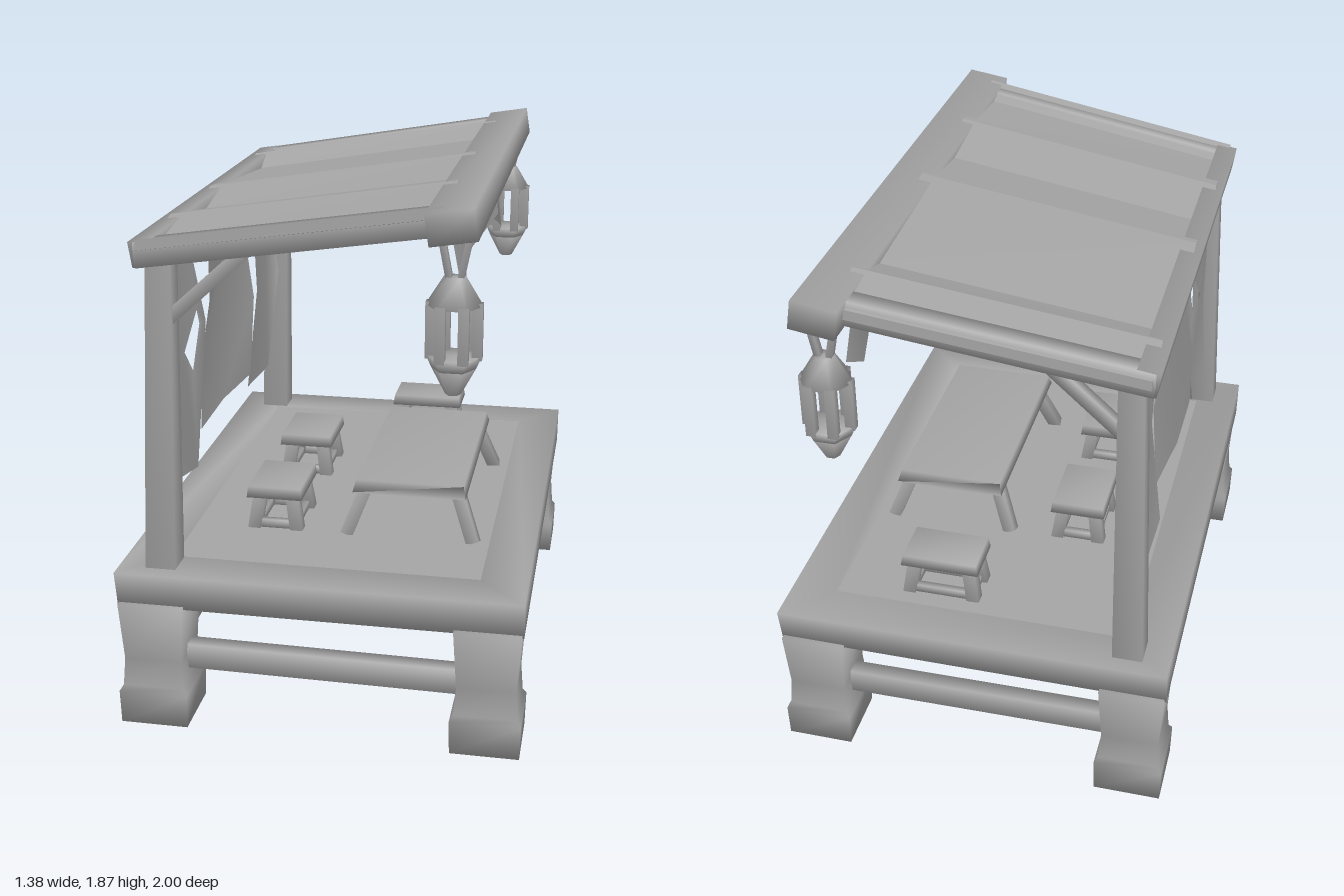
import * as THREE from 'three';
import { mergeVertices } from 'three/addons/utils/BufferGeometryUtils.js';

const grey = new THREE.MeshStandardMaterial({ color: 0xa4a4a4 });
grey.name = 'stone grey';
const greyCloth = new THREE.MeshStandardMaterial({ color: 0xa4a4a4, side: THREE.DoubleSide });
greyCloth.name = 'cloth grey';

const V = (x, y, z) => new THREE.Vector3(x, y, z);
const points = list => list.map(p => new THREE.Vector2(...p));

function add(parent, name, geometry, x = 0, y = 0, z = 0, material = grey) {
  const mesh = new THREE.Mesh(geometry, material);
  mesh.name = name;
  mesh.position.set(x, y, z);
  parent.add(mesh);
  return mesh;
}

// Join corners so the shading runs smoothly round the edges
function soften(geometry) {
  geometry.deleteAttribute('normal');
  geometry.deleteAttribute('uv');
  const joined = mergeVertices(geometry, 1e-4);
  joined.computeVertexNormals();
  return joined;
}

// Move every vertex of a geometry by a rule
function reshape(geometry, rule) {
  const p = geometry.attributes.position;
  const v = V(0, 0, 0);
  for (let i = 0; i < p.count; i++) {
    v.fromBufferAttribute(p, i);
    rule(v);
    p.setXYZ(i, v.x, v.y, v.z);
  }
  return soften(geometry);
}

// Square timber from p to q, narrowing by taper towards q
function bar(parent, name, p, q, w, d, taper = 1) {
  const geo = reshape(new THREE.BoxGeometry(w, d, p.distanceTo(q)), v => {
    if (v.z > 0) { v.x *= taper; v.y *= taper; }
  });
  const mid = p.clone().add(q).multiplyScalar(0.5);
  const mesh = add(parent, name, geo, mid.x, mid.y, mid.z);
  const upright = Math.abs(q.y - p.y) > 0.8 * p.distanceTo(q);
  mesh.quaternion.setFromRotationMatrix(
    new THREE.Matrix4().lookAt(q, p, upright ? V(0, 0, 1) : V(0, 1, 0)));
}

// Table or stool: slab top, four splayed legs, optional low rails
function furniture(parent, name, [x, z], [w, d], top, leg, splayX, splayZ, rails) {
  const g = new THREE.Group();
  g.name = name;
  g.position.set(x, 0.56, z);
  parent.add(g);
  const thick = 0.04;
  add(g, name + 'Top', reshape(new THREE.BoxGeometry(w, thick, d), v => {
    if (v.y > 0) { v.x *= 0.95; v.z *= 0.95; }
  }), 0, top - thick / 2, 0);
  const hx = w / 2 - leg / 2 - 0.01, hz = d / 2 - leg / 2 - 0.01;
  for (const sx of [-1, 1]) {
    for (const sz of [-1, 1]) {
      bar(g, name + 'Leg', V(sx * (hx + splayX), 0, sz * hz),
        V(sx * (hx - 0.01), top - 0.03, sz * (hz - splayZ)), leg, leg);
    }
    if (rails) {
      bar(g, name + 'Rail', V(sx * hx, 0.02, -hz), V(sx * hx, 0.02, hz), 0.025, 0.03);
      bar(g, name + 'Rail', V(-hx, 0.02, sx * hz), V(hx, 0.02, sx * hz), 0.025, 0.03);
    }
  }
}

// Hanging cloth cut from an outline of [z, y] points
function cloth(parent, name, x, outline, hole) {
  const shape = new THREE.Shape(points(outline));
  if (hole) shape.holes.push(new THREE.Path(points(hole)));
  const geo = reshape(new THREE.ShapeGeometry(shape), v => {
    v.set(x + 0.03 * Math.sin(v.x * 17 + v.y * 6), v.y, v.x);
  });
  add(parent, name, geo, 0, 0, 0, greyCloth);
}

function lantern(parent, x, z) {
  const g = new THREE.Group();
  g.name = 'lantern';
  g.position.set(x, 0, z);
  parent.add(g);
  const tier = (name, r1, r0, y0, y1) => add(g, name,
    soften(new THREE.CylinderGeometry(r1, r0, y1 - y0, 6).rotateY(Math.PI / 2)), 0, (y0 + y1) / 2, 0);
  tier('lanternCap', 0.035, 0.09, 1.55, 1.64);
  tier('lanternBase', 0.088, 0.07, 1.35, 1.39);
  tier('lanternPoint', 0.07, 0.025, 1.265, 1.35);
  for (let i = 0; i < 6; i++) {
    const a = i * Math.PI / 3, c = Math.cos(a) * 0.072, s = Math.sin(a) * 0.072;
    bar(g, 'lanternBar', V(c, 1.38, s), V(c, 1.56, s), 0.032, 0.032);
  }
  for (const s of [-1, 1]) bar(g, 'lanternHook', V(s * 0.015, 1.62, 0), V(s * 0.045, 1.77, 0), 0.02, 0.03);
}

export function createModel() {
  const model = new THREE.Group();
  model.name = 'marketPlatform';

  // Deck rim and floor
  const rim = new THREE.Shape(points([[-0.69, -0.945], [0.69, -0.945], [0.69, 0.945], [-0.69, 0.945]]));
  rim.holes.push(new THREE.Path(points([[-0.53, -0.78], [-0.53, 0.78], [0.53, 0.78], [0.53, -0.78]])));
  const rimGeo = new THREE.ExtrudeGeometry(rim, { depth: 0.13, bevelEnabled: false }).rotateX(-Math.PI / 2);
  add(model, 'deckRim', reshape(rimGeo, v => { if (v.y < 0.01) v.z *= 0.975; }), 0, 0.438, 0);
  add(model, 'deckFloor', new THREE.BoxGeometry(1.08, 0.06, 1.58), 0, 0.534, 0);

  // Stout legs with flared feet, as [height, width] steps
  const legSteps = [[0, 0.235], [0.12, 0.24], [0.14, 0.215], [0.24, 0.2], [0.45, 0.225]];
  for (const sx of [-1, 1]) for (const sz of [-1, 1]) {
    const geo = reshape(new THREE.BoxGeometry(1, 4, 1, 1, 4, 1), v => {
      const [y, w] = legSteps[Math.round(v.y + 2)];
      v.set(v.x * w, y, v.z * w);
    });
    add(model, 'platformLeg', geo, sx * 0.572, 0, sz * 0.83);
  }

  // Stretchers between the legs
  for (const s of [-1, 1]) {
    bar(model, 'crossStretcher', V(-0.55, 0.23, s * 0.83), V(0.55, 0.22, s * 0.83), 0.06, 0.09);
    bar(model, 'longStretcher', V(s * 0.57, 0.225, -0.8), V(s * 0.57, 0.225, 0.8), 0.06, 0.09);
  }

  // Posts, braces and rafters
  for (const s of [-1, 1]) {
    bar(model, 'post', V(-0.545, 0.55, s * 0.835), V(-0.515, 1.65, s * 0.815), 0.105, 0.105, 0.78);
    bar(model, 'brace', V(-0.5, 1.43, s * 0.82), V(-0.21, 1.69, s * 0.82), 0.04, 0.045);
    bar(model, 'rafter', V(-0.59, 1.648, s * 0.835), V(0.44, 1.81, s * 0.89), 0.07, 0.085);
  }

  // Beams carrying the sloping roof
  const slope = Math.atan2(0.175, 1.11);
  add(model, 'backBeam', soften(new THREE.BoxGeometry(0.075, 0.085, 1.74)), -0.563, 1.655, 0).rotation.z = slope;
  add(model, 'frontBeam', soften(new THREE.BoxGeometry(0.15, 0.1, 2)), 0.435, 1.807, 0).rotation.z = slope;

  // Roof of broad flat folds, as [z, height] steps
  const folds = [[-0.9, -0.03], [-0.7, 0], [-0.57, -0.045], [0, 0], [0.25, -0.04], [0.5, 0], [0.78, -0.03], [0.9, 0]];
  const roofGeo = reshape(new THREE.BoxGeometry(1, 0.035, 7, 1, 1, 7), v => {
    const [z, rise] = folds[Math.round(v.z + 3.5)];
    const x = v.x < 0 ? -0.58 : 0.4;
    v.set(x, v.y + rise + 1.68 + (x + 0.6) * 0.158, z * (v.x < 0 ? 0.975 : 1.04));
  }).toNonIndexed();
  roofGeo.computeVertexNormals();
  add(model, 'roof', roofGeo);

  // Back curtains
  cloth(model, 'backCurtain', -0.53,
    [[0.72, 1.66], [0.73, 1.4], [0.71, 1.1], [0.71, 0.8], [0.48, 0.78], [0.4, 0.81], [0.39, 1.3], [0.41, 1.66]],
    [[0.52, 1.22], [0.5, 1.15], [0.43, 1.3], [0.43, 1.35]]);
  cloth(model, 'backCurtain', -0.53,
    [[0.3, 1.64], [0.31, 1.35], [0.29, 1.1], [0.31, 0.86], [0, 0.87], [-0.3, 0.875], [-0.3, 1.2], [-0.3, 1.64]]);
  cloth(model, 'backCurtain', -0.53,
    [[-0.4, 1.66], [-0.39, 1.2], [-0.38, 0.79], [-0.69, 0.78], [-0.71, 1.2], [-0.71, 1.66]]);

  // Short valance cloths under the front beam
  cloth(model, 'valance', 0.43, [[0.77, 1.78], [0.73, 1.6], [0.61, 1.5], [0.42, 1.47], [0.41, 1.78]]);
  cloth(model, 'valance', 0.43, [[0.4, 1.78], [0.4, 1.55], [0.1, 1.53], [-0.4, 1.55], [-0.43, 1.78]]);
  cloth(model, 'valance', 0.43, [[-0.42, 1.78], [-0.46, 1.49], [-0.66, 1.47], [-0.74, 1.51], [-0.72, 1.78]]);

  for (const s of [-1, 1]) lantern(model, 0.44, s * 0.915);

  // Table and three stools
  furniture(model, 'table', [0.245, 0.1], [0.4, 0.82], 0.215, 0.045, 0.06, 0.06, false);
  furniture(model, 'stool', [-0.24, 0.37], [0.2, 0.27], 0.165, 0.045, 0.01, 0.015, true);
  furniture(model, 'stool', [-0.24, -0.16], [0.2, 0.27], 0.165, 0.045, 0.01, 0.015, true);
  furniture(model, 'stool', [0.16, -0.64], [0.28, 0.18], 0.17, 0.045, 0.01, 0.015, true);

  return model;
}
